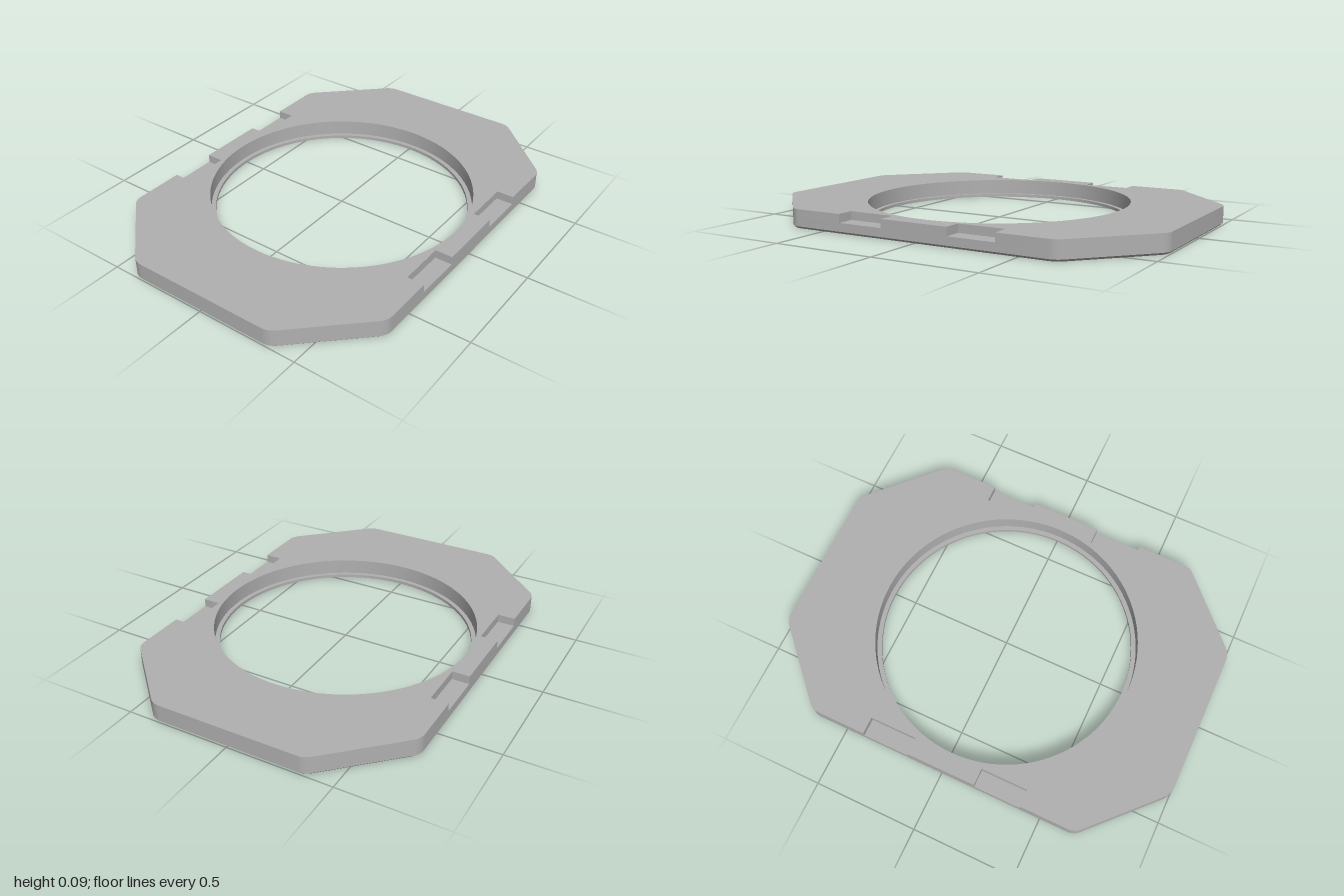
import * as THREE from 'three';
import { toCreasedNormals } from 'three/addons/utils/BufferGeometryUtils.js';

const TOP = 0.09, BEVEL = 0.01, LEDGE = 0.015, NOTCH_FLOOR = 0.05, SLOT_DEPTH = 0.05;
const DEPTH = 0.715, NOTCH_IN = 0.632;
const V = (x, y) => new THREE.Vector2(x, y);

// Counter-clockwise octagon with filleted corners; d insets it, notched cuts the edge pockets
function outline(d, notched) {
  const half = [[1 - d, 0.37 - 0.41 * d, 0.034], [0.67 - 0.41 * d, DEPTH - d, 0.034]];
  if (notched) {
    for (const [a, b] of [[0.4, 0.17], [-0.17, -0.4]]) {
      half.push([a, DEPTH, 0], [a, NOTCH_IN, 0], [b, NOTCH_IN, 0], [b, DEPTH, 0]);
    }
  }
  half.push([-0.67 + 0.41 * d, DEPTH - d, 0.034], [-1 + d, 0.37 - 0.41 * d, 0.034]);
  const corners = [...half, ...half.map(([x, y, t]) => [-x, -y, t])];
  const n = corners.length;
  return corners.flatMap(([x, y, t], i) => {
    const p = V(x, y);
    if (!t) return [p];
    const toward = (c) => V(c[0], c[1]).sub(p).setLength(t).add(p);
    const from = toward(corners[(i + n - 1) % n]), to = toward(corners[(i + 1) % n]);
    return new THREE.QuadraticBezierCurve(from, p, to).getPoints(8);
  });
}

function circle(r, n = 96) {
  return Array.from({ length: n }, (_, i) => {
    const a = (i / n) * Math.PI * 2;
    return V(r * Math.cos(a), r * Math.sin(a));
  });
}

function rect(x, y, w, h) {
  return [V(x - w / 2, y - h / 2), V(x + w / 2, y - h / 2), V(x + w / 2, y + h / 2), V(x - w / 2, y + h / 2)];
}

// Band between two matching loops; counter-clockwise loops face outward
function band(lower, y0, upper, y1) {
  const pos = [];
  const put = (p, y) => pos.push(p.x, y, -p.y);
  lower.forEach((a, i) => {
    const j = (i + 1) % lower.length;
    put(a, y0); put(lower[j], y0); put(upper[j], y1);
    put(a, y0); put(upper[j], y1); put(upper[i], y1);
  });
  const g = new THREE.BufferGeometry();
  g.setAttribute('position', new THREE.Float32BufferAttribute(pos, 3));
  return toCreasedNormals(g, 0.5);
}

const inward = (loop, y0, y1) => {
  const r = [...loop].reverse();
  return band(r, y0, r, y1);
};

// Flat horizontal face with holes
function face(loop, holes, y, up) {
  const s = new THREE.Shape(loop);
  s.holes = holes.map((h) => new THREE.Path(h));
  return new THREE.ShapeGeometry(s).rotateX(up ? -Math.PI / 2 : Math.PI / 2).translate(0, y, 0);
}

export function createModel() {
  const model = new THREE.Group();
  model.name = 'adapterPlate';
  const grey = new THREE.MeshStandardMaterial({ color: 0xb0b0b0 });
  grey.name = 'plate grey';
  const add = (name, geometry) => {
    const m = new THREE.Mesh(geometry, grey);
    m.name = name;
    model.add(m);
  };

  const full = outline(0, false), notched = outline(0, true), base = outline(BEVEL, false);
  const bore = circle(0.632), lip = circle(0.61);
  const slots = [-0.9, -0.73, 0.73, 0.9].map((x) => rect(x, 0, 0.072, 0.48));

  // Plate faces and outer edge
  add('topFace', face(notched, [bore], TOP, true));
  add('bottomFace', face(base, [lip, ...slots], 0, false));
  add('bottomBevel', band(base, 0, full, BEVEL));
  add('lowerEdge', band(full, BEVEL, full, NOTCH_FLOOR));
  add('upperEdge', band(notched, NOTCH_FLOOR, notched, TOP));

  // Edge notch floors
  for (const sx of [-1, 1]) for (const sz of [-1, 1]) {
    const floor = rect(sx * 0.285, sz * (DEPTH + NOTCH_IN) / 2, 0.23, DEPTH - NOTCH_IN);
    add('notchFloor', face(floor, [], NOTCH_FLOOR, true));
  }

  // Stepped round opening
  add('boreWall', inward(bore, LEDGE, TOP));
  add('boreLedge', face(bore, [lip], LEDGE, true));
  add('lipWall', inward(lip, 0, LEDGE));

  // Blind slots underneath
  for (const slot of slots) {
    add('slotWall', inward(slot, 0, SLOT_DEPTH));
    add('slotCeiling', face(slot, [], SLOT_DEPTH, false));
  }
  return model;
}
